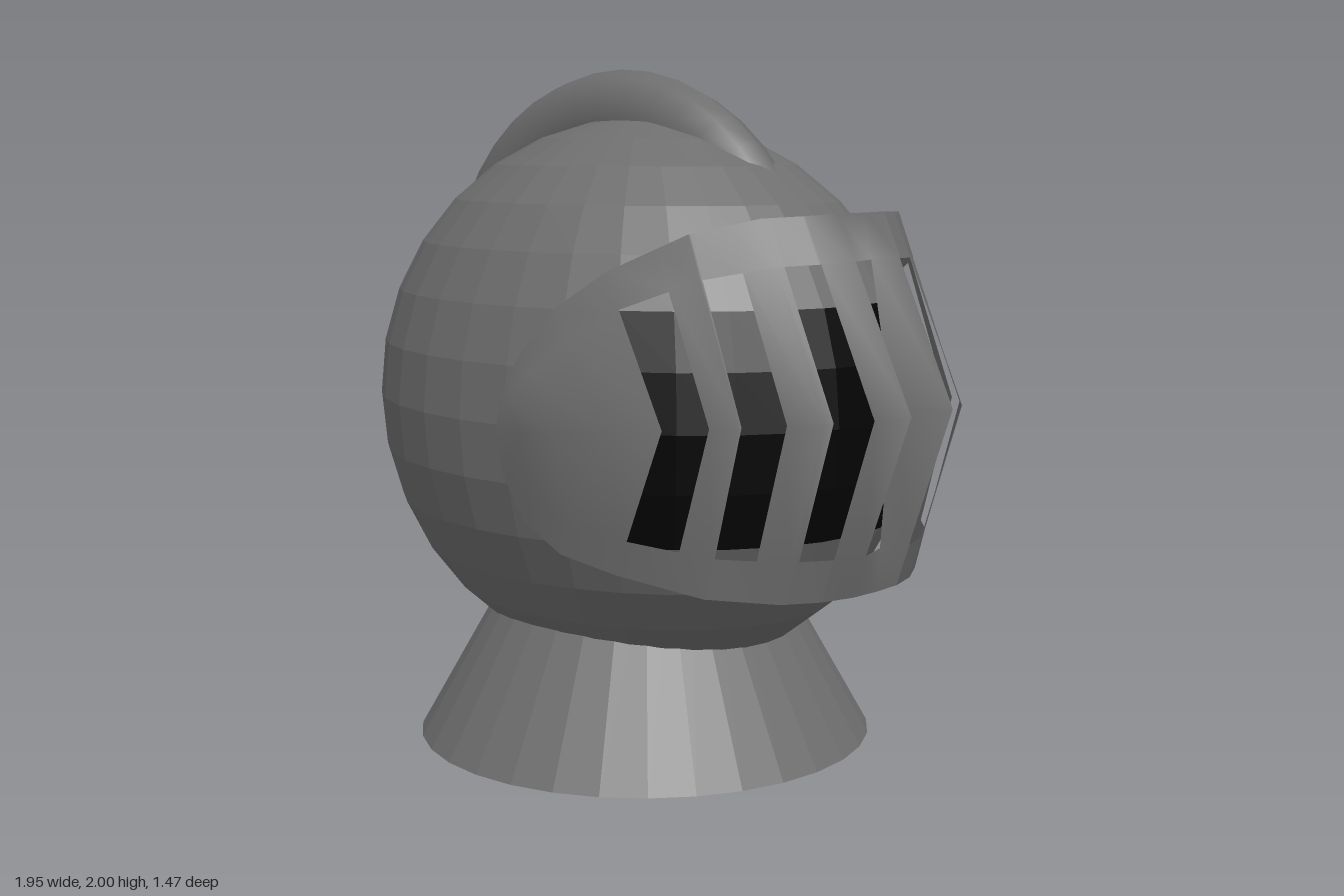
import * as THREE from 'three';
import { mergeVertices } from 'three/addons/utils/BufferGeometryUtils.js';

const COLOR = 0x6e6e6e;
const steel = new THREE.MeshStandardMaterial({ color: COLOR, flatShading: true });
const smoothSteel = new THREE.MeshStandardMaterial({ color: COLOR });
const thinSteel = new THREE.MeshStandardMaterial({ color: COLOR, side: THREE.DoubleSide });
const black = new THREE.MeshStandardMaterial({ color: 0x040404, flatShading: true });

// Visor stations from the middle to the cheek pivot: key, top edge, ridge, bottom edge (x, y, z each)
const STATIONS = [
  [0, 0.73, 1.6, 0, 0.83, 1.08, 0, 0.79, 0.565, 0],
  [0.1, 0.72, 1.6, 0.1, 0.97, 1.08, 0.1, 0.785, 0.565, 0.1],
  [0.2, 0.68, 1.595, 0.2, 0.92, 1.075, 0.2, 0.755, 0.565, 0.2],
  [0.3, 0.62, 1.59, 0.3, 0.84, 1.07, 0.3, 0.7, 0.567, 0.3],
  [0.45, 0.5, 1.55, 0.45, 0.68, 1.06, 0.45, 0.56, 0.585, 0.45],
  [0.58, 0.325, 1.45, 0.58, 0.53, 1.05, 0.58, 0.36, 0.64, 0.58],
  [0.66, 0.21, 1.35, 0.66, 0.4, 1.04, 0.66, 0.23, 0.69, 0.66],
  [0.73, 0.12, 1.23, 0.7, 0.28, 1.03, 0.73, 0.13, 0.77, 0.7],
  [0.79, 0.067, 1.12, 0.72, 0.15, 1.02, 0.735, 0.07, 0.9, 0.725],
  [0.85, 0.05, 1.02, 0.73, 0.05, 1.02, 0.73, 0.05, 1.02, 0.73],
];
// Each slit as a range of z
const SLITS = [
  [0.5, 0.58], [0.365, 0.445], [0.195, 0.28], [0, 0.1],
  [-0.19, -0.095], [-0.365, -0.28], [-0.515, -0.435],
];

// Five points down the visor at one key: edge, slit top, ridge, slit bottom, edge
function visorColumn(key) {
  const k = Math.abs(key), side = key < 0 ? -1 : 1;
  let i = 0;
  while (i < STATIONS.length - 2 && STATIONS[i + 1][0] < k) i++;
  const a = STATIONS[i], b = STATIONS[i + 1];
  const f = (k - a[0]) / (b[0] - a[0]);
  const v = a.map((n, j) => n + (b[j] - n) * f);
  const [top, ridge, bottom] = [1, 4, 7].map(j => new THREE.Vector3(v[j], v[j + 1], v[j + 2] * side));
  return [top, top.clone().lerp(ridge, 0.24), ridge, bottom.clone().lerp(ridge, 0.24), bottom];
}

function visorGeometry() {
  const all = [...STATIONS.flatMap(s => [s[0], -s[0]]), ...SLITS.flat()];
  const keys = [...new Set(all)].sort((a, b) => a - b);
  const points = [];
  for (let i = 0; i < keys.length - 1; i++) {
    const a = visorColumn(keys[i]), b = visorColumn(keys[i + 1]);
    const mid = (keys[i] + keys[i + 1]) / 2;
    const open = SLITS.some(([lo, hi]) => mid > lo && mid < hi);
    for (let r = 0; r < 4; r++) {
      if (open && (r === 1 || r === 2)) continue;
      points.push(a[r], b[r], a[r + 1], b[r], b[r + 1], a[r + 1]);
    }
  }
  const g = mergeVertices(new THREE.BufferGeometry().setFromPoints(points));
  g.computeVertexNormals();
  return g;
}

export function createModel() {
  const model = new THREE.Group();
  const add = (name, geometry, material) => {
    const mesh = new THREE.Mesh(geometry, material);
    mesh.name = name;
    model.add(mesh);
    return mesh;
  };

  // Rounded skull
  const skull = add('skull', new THREE.SphereGeometry(1, 32, 16), steel);
  skull.scale.set(0.88, 0.83, 0.73);
  skull.position.set(-0.1, 1.03, 0);

  // Dark face area behind the visor
  const step = Math.PI / 16;
  const face = add('faceOpening',
    new THREE.SphereGeometry(1.004, 10, 4, Math.PI - 5 * step, 10 * step, 6 * step, 4 * step), black);
  face.scale.copy(skull.scale);
  face.position.copy(skull.position);

  // Flared neck guard
  add('neckGuard', new THREE.CylinderGeometry(0.35, 0.69, 0.6, 32), steel).position.set(-0.1, 0.3, 0);

  // Ring sunk in the skull so that only the crest shows
  const crest = add('crest', new THREE.TorusGeometry(0.59, 0.14, 12, 40), smoothSteel);
  crest.scale.set(1.035, 1, 0.79);
  crest.position.set(-0.195, 1.27, 0);

  // Pointed visor with vertical bars
  add('visor', visorGeometry(), thinSteel);

  return model;
}
